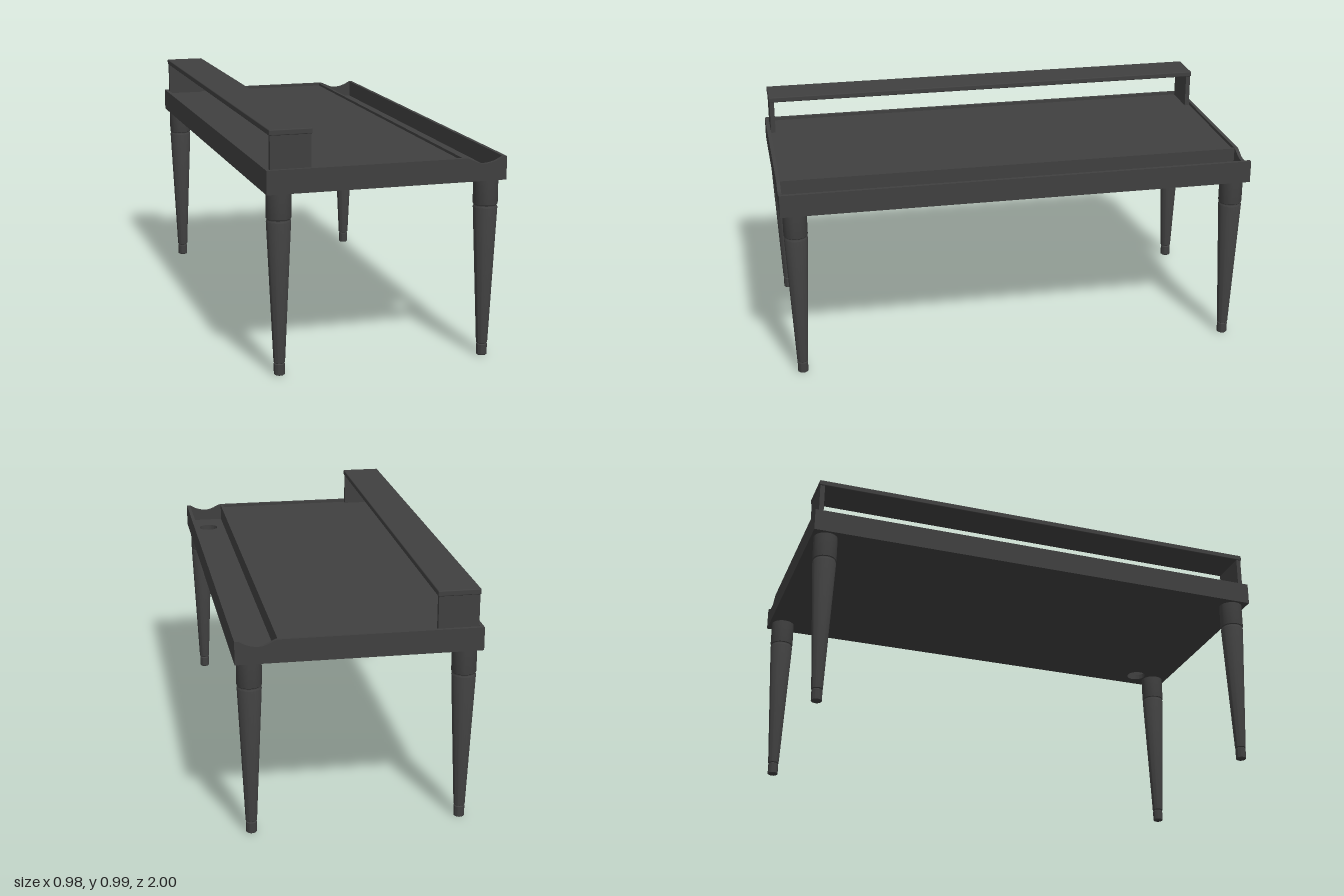
import * as THREE from 'three';
import { RoundedBoxGeometry } from 'three/addons/geometries/RoundedBoxGeometry.js';
import { toCreasedNormals } from 'three/addons/utils/BufferGeometryUtils.js';

const material = new THREE.MeshStandardMaterial({ color: 0x404040 });
const BOTTOM = 0.74, RIM = 0.835, HALF_X = 0.49, HALF_Z = 1, WALL = 0.015;

function part(parent, name, geometry, x = 0, y = 0, z = 0) {
  const mesh = new THREE.Mesh(geometry, material);
  mesh.name = name;
  mesh.position.set(x, y, z);
  parent.add(mesh);
  return mesh;
}

// Box given by its lower and upper limits
function block(parent, name, [x0, x1], [y0, y1], [z0, z1]) {
  return part(parent, name, new THREE.BoxGeometry(x1 - x0, y1 - y0, z1 - z0),
    (x0 + x1) / 2, (y0 + y1) / 2, (z0 + z1) / 2);
}

// End rail with a shallow scoop above the trough
function endRailGeometry() {
  const s = new THREE.Shape();
  s.moveTo(-HALF_X, BOTTOM);
  s.lineTo(HALF_X, BOTTOM);
  s.lineTo(HALF_X, RIM);
  s.lineTo(0.475, RIM);
  s.bezierCurveTo(0.455, 0.823, 0.43, 0.81, 0.397, 0.81);
  s.bezierCurveTo(0.364, 0.81, 0.345, 0.83, 0.322, RIM);
  s.lineTo(-HALF_X, RIM);
  const g = new THREE.ExtrudeGeometry(s, { depth: WALL, bevelEnabled: false, curveSegments: 16 });
  return toCreasedNormals(g, 0.4);
}

// Floor panel with a round cable hole
function floorGeometry() {
  const x = HALF_X - WALL, z = HALF_Z - WALL;
  const s = new THREE.Shape();
  s.moveTo(-x, -z);
  s.lineTo(x, -z);
  s.lineTo(x, z);
  s.lineTo(-x, z);
  s.holes.push(new THREE.Path().absarc(0.4, -0.84, 0.043, 0, Math.PI * 2, true));
  const g = new THREE.ExtrudeGeometry(s, { depth: 0.022, bevelEnabled: false, curveSegments: 32 });
  g.rotateX(-Math.PI / 2);
  return toCreasedNormals(g, 0.5);
}

// Turned leg: collar, groove, long taper, groove, foot
function legGeometry() {
  const profile = [
    [0, 0], [0.019, 0], [0.022, 0.003], [0.022, 0.045], [0.019, 0.048], [0.019, 0.05],
    [0.023, 0.053], [0.049, 0.622], [0.047, 0.627], [0.046, 0.628], [0.046, 0.632],
    [0.049, 0.635], [0.05, 0.64], [0.05, BOTTOM], [0, BOTTOM],
  ].map(([r, y]) => new THREE.Vector2(r, y));
  return toCreasedNormals(new THREE.LatheGeometry(profile, 32), 0.5);
}

export function createModel() {
  const desk = new THREE.Group();
  desk.name = 'desk';

  // Tray: floor, rails, work surface and trough divider
  const tray = new THREE.Group();
  tray.name = 'tray';
  desk.add(tray);
  const inner = [-HALF_Z + WALL, HALF_Z - WALL];
  part(tray, 'floor', floorGeometry(), 0, BOTTOM, 0);
  block(tray, 'leftRail', [HALF_X - WALL, HALF_X], [BOTTOM, RIM], inner);
  block(tray, 'rightRail', [-HALF_X, -HALF_X + WALL], [BOTTOM, RIM], inner);
  const endRail = endRailGeometry();
  part(tray, 'frontRail', endRail, 0, 0, HALF_Z - WALL);
  part(tray, 'backRail', endRail, 0, 0, -HALF_Z);
  block(tray, 'workSurface', [-HALF_X + WALL, 0.31], [0.762, 0.822], inner);
  block(tray, 'troughDivider', [0.31, 0.322], [0.762, 0.833], inner);

  // Raised shelf, open along both long sides
  const shelf = new THREE.Group();
  shelf.name = 'shelf';
  desk.add(shelf);
  part(shelf, 'shelfTop', new RoundedBoxGeometry(0.172, 0.023, 1.97, 2, 0.004), -0.39, 0.9765, 0);
  for (const s of [1, -1]) {
    const z = [s * 0.962, s * 0.982].sort((a, b) => a - b);
    block(shelf, s > 0 ? 'shelfFrontEnd' : 'shelfBackEnd', [-0.472, -0.308], [0.82, 0.967], z);
  }

  // Four legs
  const leg = legGeometry();
  for (const x of [1, -1]) for (const z of [1, -1]) {
    part(desk, `${z > 0 ? 'front' : 'back'}${x > 0 ? 'Left' : 'Right'}Leg`, leg, x * 0.428, 0, z * 0.938);
  }
  return desk;
}
